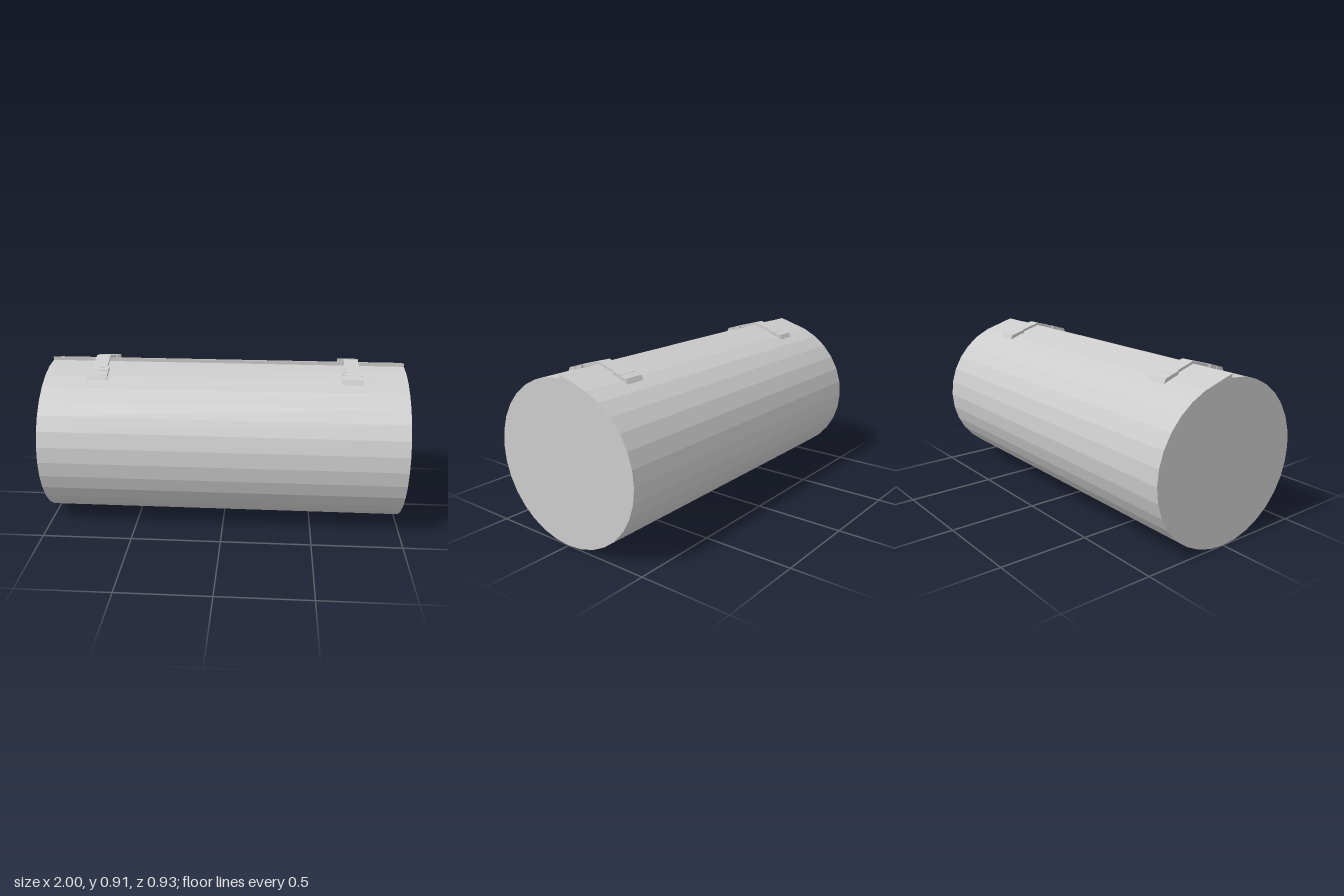
import * as THREE from 'three';

const material = new THREE.MeshStandardMaterial({ color: 0xcccccc, flatShading: true, side: THREE.DoubleSide });

// Extrude a (z, y) outline along x, centred on the given x
function slab(name, points, width, x = 0) {
  const shape = new THREE.Shape(points.map(([z, y]) => new THREE.Vector2(z, y)));
  const geometry = new THREE.ExtrudeGeometry(shape, { depth: width, bevelEnabled: false });
  geometry.rotateY(-Math.PI / 2).translate(width / 2 + x, 0, 0);
  const mesh = new THREE.Mesh(geometry, material);
  mesh.name = name;
  return mesh;
}

function createStrap(x, name) {
  const strap = new THREE.Group();
  strap.name = name;

  // Narrow bent band bridging the lid seam
  const band = slab('strapBand', [
    [0.12, 0.876], [0, 0.91], [-0.12, 0.876],
    [-0.12, 0.861], [0, 0.896], [0.12, 0.861],
  ], 0.084, 0);
  // Waist the band slightly towards the middle
  const p = band.geometry.attributes.position;
  for (let i = 0; i < p.count; i++) {
    if (Math.abs(p.getZ(i)) < 0.01) p.setX(i, p.getX(i) * 0.92);
  }
  strap.add(band);

  // Wide buckle plate and bevelled end tab on each side
  for (const side of [1, -1]) {
    const off = side > 0 ? 0 : 0.006;
    const mirror = pts => pts.map(([z, y]) => [side * (z + off), y]);
    strap.add(slab('bucklePlate', mirror([
      [0.108, 0.879], [0.152, 0.8665], [0.152, 0.846], [0.108, 0.858],
    ]), 0.108));
    strap.add(slab('buckleTab', mirror([
      [0.154, 0.866], [0.194, 0.8545], [0.207, 0.829], [0.19, 0.834], [0.154, 0.846],
    ]), 0.112));
  }
  strap.position.x = x;
  return strap;
}

export function createModel() {
  const group = new THREE.Group();

  // Oval drum; the rear edge of the lid overlaps the front one as a raised flap
  const profile = [];
  for (let i = 0; i <= 30; i++) {
    const a = (i / 32) * Math.PI * 2;
    profile.push([0.464 * Math.sin(a), 0.4375 + 0.4375 * Math.cos(a)]);
  }
  profile.push([0, 0.895]);
  group.add(slab('drumBody', profile, 2));

  // Two fastening straps
  group.add(createStrap(0.702, 'leftStrap'), createStrap(-0.704, 'rightStrap'));
  return group;
}
